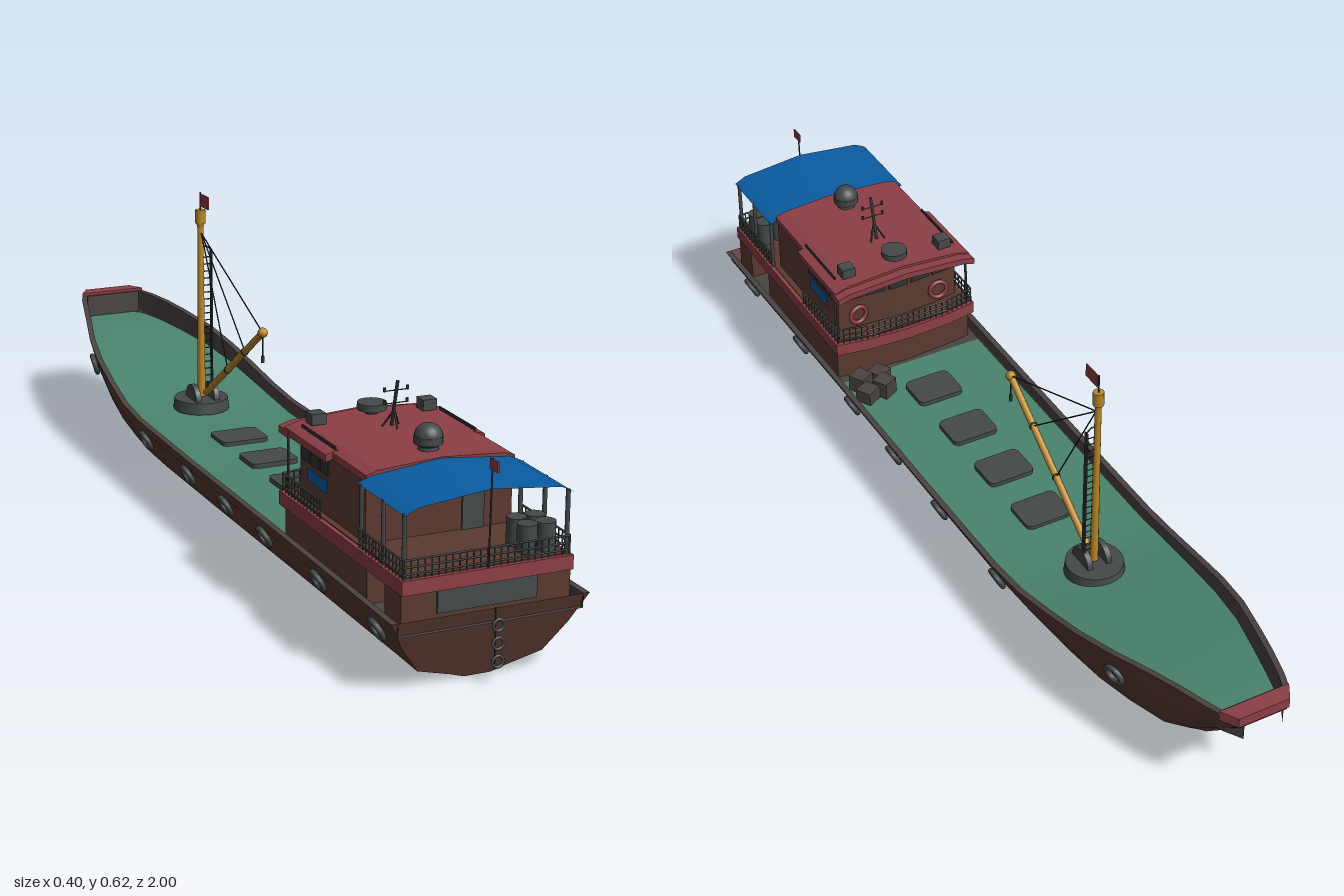
import * as THREE from 'three';

const mat = (name, color) => Object.assign(new THREE.MeshStandardMaterial({ color }), { name });
const M = {
  brown: mat('hullBrown', 0x5b3a30), red: mat('trimRed', 0x8c3f46), green: mat('deckGreen', 0x4a846e),
  blue: mat('canopyBlue', 0x0a5ca2), keel: mat('bottomBlue', 0x0834c4), grey: mat('fittingGrey', 0x454949),
  dark: mat('railDark', 0x2e3234), yellow: mat('mastYellow', 0xb98728), rim: mat('bulwarkInside', 0x4a4341),
};
for (const k of ['brown', 'rim', 'blue', 'red']) M[k].side = THREE.DoubleSide;
const V = (x, y, z) => new THREE.Vector3(x, y, z);
const UP = V(0, 1, 0);

// Hull stations: z, sheer height, half beam, keel height, keel half width
const ST = [
  [.94, .145, .199, 0, .027], [.85, .145, .197, 0, .027], [.43, .145, .192, 0, .027], [0, .145, .19, 0, .027],
  [-.3, .148, .188, 0, .027], [-.4, .158, .186, 0, .027], [-.5, .178, .179, .004, .027], [-.6, .2, .17, .014, .028],
  [-.7, .222, .153, .032, .028], [-.8, .24, .126, .055, .03], [-.87, .249, .107, .105, .036],
  [-.93, .253, .09, .165, .043], [-.965, .254, .077, .2, .047], [-1, .255, .056, .236, .05]];
const GX = [0, .17, .58, .82, 1], GY = [0, .07, .21, .6, 1];
const hullPt = ([z, sh, w, k, kw], j) => V(kw + (w - kw) * GX[j], k + (sh - k) * GY[j], z === .94 ? z + .05 * GY[j] : z);
const deckDrop = s => .028 + Math.max(0, s[1] - .16) * .25;
const mirror = p => V(-p.x, p.y, p.z);

export function createModel() {
  const root = new THREE.Group();
  const add = (name, geo, m, x = 0, y = 0, z = 0, parent = root) => {
    const o = new THREE.Mesh(geo, m);
    o.name = name; o.position.set(x, y, z); parent.add(o);
    return o;
  };
  const box = (name, w, h, d, m, x, y, z, p) => add(name, new THREE.BoxGeometry(w, h, d), m, x, y, z, p);
  const cyl = (name, r0, r1, h, m, x, y, z, p, n = 16) => add(name, new THREE.CylinderGeometry(r0, r1, h, n), m, x, y, z, p);
  const group = name => { const g = new THREE.Group(); g.name = name; root.add(g); return g; };
  const rod = (name, a, b, r, m, p, n = 5) => {
    const d = b.clone().sub(a), c = a.clone().add(b).multiplyScalar(.5);
    const o = add(name, new THREE.CylinderGeometry(r, r, d.length(), n), m, c.x, c.y, c.z, p);
    o.quaternion.setFromUnitVectors(UP, d.normalize());
    return o;
  };
  // Surface through rows of points
  const grid = (name, rows, m, flip = false) => {
    const n = rows[0].length, idx = [];
    for (let i = 0; i < rows.length - 1; i++) for (let j = 0; j < n - 1; j++) {
      const a = i * n + j, b = a + n, c = a + 1, d = b + 1;
      idx.push(...(flip ? [a, c, b, b, c, d] : [a, b, c, b, d, c]));
    }
    const g = new THREE.BufferGeometry().setFromPoints(rows.flat());
    g.setIndex(idx); g.computeVertexNormals();
    return add(name, g, m);
  };
  // Horizontal slab from a plan outline of [x, z]
  const slab = (name, pts, y0, y1, m) => {
    const s = new THREE.Shape(pts.map(([x, z]) => new THREE.Vector2(x, -z)));
    const g = new THREE.ExtrudeGeometry(s, { depth: y1 - y0, bevelEnabled: false }).rotateX(-Math.PI / 2);
    return add(name, g, m, 0, y0, 0);
  };
  const bowedPlan = (w, zAft, zCorner, zMid) =>
    [[-w, zAft], [w, zAft], [w, zCorner], [w * .6, zMid + .006], [0, zMid], [-w * .6, zMid + .006], [-w, zCorner]];

  // Hull shell, bulwark and deck
  const inner = (s, drop) => { const p = hullPt(s, 4); return V(p.x - .013, p.y - drop, p.z); };
  for (const flip of [false, true]) {
    const f = p => flip ? mirror(p) : p;
    const strip = (name, st, fn, m) => grid(name, st.map(s => fn(s).map(f)), m, flip);
    strip('hullSide', ST, s => [1, 2, 3, 4].map(j => hullPt(s, j)), M.brown);
    strip('bottomSide', ST.slice(0, 10), s => [hullPt(s, 0), hullPt(s, 1)], M.keel);
    strip('stemSide', ST.slice(9), s => [hullPt(s, 0), hullPt(s, 1)], M.red);
    strip('bulwarkCap', ST, s => [hullPt(s, 4), inner(s, 0)], M.rim);
    strip('bulwarkInside', ST, s => [inner(s, 0), inner(s, deckDrop(s))], M.rim);
  }
  const across = p => [mirror(p), p];
  const deckRow = s => across(inner(s, deckDrop(s))).reverse();
  grid('bottom', ST.slice(0, 10).map(s => across(hullPt(s, 0))), M.keel);
  grid('stem', ST.slice(9).map(s => across(hullPt(s, 0))), M.red);
  grid('sternDeck', ST.slice(0, 3).map(deckRow), M.rim);
  grid('cargoDeck', ST.slice(2, 13).map(deckRow), M.green);
  grid('transom', GX.map((_, j) => across(hullPt(ST[0], j)).reverse()), M.brown);
  box('bowBulkhead', .13, .05, .006, M.rim, 0, .229, -.962);
  slab('bowCap', [[-.077, -.965], [.077, -.965], [.056, -1], [-.056, -1]], .238, .26, M.red);

  // Tyre fenders along the sides and hanging at the transom
  for (const z of [.89, .63, .37, .17, -.04, -.29, -.7]) {
    const i = Math.max(1, ST.findIndex(s => s[0] <= z)), t = (ST[i - 1][0] - z) / (ST[i - 1][0] - ST[i][0]);
    const s = ST[i].map((v, k) => ST[i - 1][k] + (v - ST[i - 1][k]) * t);
    const a = hullPt(s, 3), b = hullPt(s, 4);
    for (const sx of [1, -1]) {
      const n = V(sx * (b.y - a.y), a.x - b.x, z < -.5 ? -.02 : 0).normalize();
      const p = a.clone().lerp(b, .22);
      p.x *= sx;
      p.addScaledVector(n, .006);
      const tyre = add('tyreFender', new THREE.TorusGeometry(.02, .006, 8, 20), M.grey, p.x, p.y, p.z);
      tyre.quaternion.setFromUnitVectors(V(0, 0, 1), n);
    }
  }
  for (const y of [.043, .078, .113])
    add('sternTyre', new THREE.TorusGeometry(.011, .003, 8, 18), M.grey, .012, y, .994);
  rod('sternChain', V(.005, .03, .994), V(.005, .148, .994), .0015, M.dark, root);

  // Cargo hatches and crates
  const hatch = new THREE.Shape();
  hatch.moveTo(-.053, -.03).quadraticCurveTo(-.051, -.042, -.04, -.043).lineTo(.04, -.043);
  hatch.quadraticCurveTo(.051, -.042, .053, -.03).lineTo(.053, .03).quadraticCurveTo(.051, .042, .04, .043);
  hatch.lineTo(-.04, .043).quadraticCurveTo(-.051, .042, -.053, .03);
  for (const z of [-.17, -.01, .15, .31])
    add('hatch', new THREE.ExtrudeGeometry(hatch, { depth: .01, bevelEnabled: false }).rotateX(-Math.PI / 2), M.grey, 0, .117, z);
  for (const [x, z, h, r] of [[.1, .355, .038, .5], [.138, .395, .038, .5], [.09, .4, .03, .5], [.142, .352, .03, .5]])
    box('crate', .038, h, .038, M.rim, x, .117 + h / 2, z).rotation.y = r;

  // Lower deckhouse, stern bulkhead and upper deck
  slab('lowerHouse', bowedPlan(.165, .82, .455, .44), .115, .19, M.brown);
  box('sternBulkhead', .34, .075, .066, M.brown, 0, .153, .935);
  box('sternPanel', .2, .043, .006, M.grey, 0, .166, .97);
  slab('upperDeckBand', bowedPlan(.172, .975, .44, .422), .188, .216, M.red);
  slab('upperDeckFloor', bowedPlan(.163, .966, .448, .43), .216, .218, M.brown);

  // Wheelhouse with windows, door and panels
  slab('wheelhouse', bowedPlan(.15, .78, .49, .475), .215, .348, M.brown);
  for (const s of [1, -1]) {
    for (let i = 0; i < 3; i++) box('sideWindow', .006, .036, .036, M.dark, s * .149, .315, .517 + i * .043);
    box('sideBoard', .006, .024, .085, M.blue, s * .1485, .273, .57);
    const buoy = add('lifebuoy', new THREE.TorusGeometry(.02, .005, 8, 20), M.red, s * .1, .255, .474);
    buoy.rotation.y = s * .1;
  }
  for (let i = -2; i <= 2; i++)
    box('frontWindow', .046, .036, .006, M.dark, i * .055, .315, .4745 + Math.abs(i) * .0035).rotation.y = -Math.sign(i) * .066;
  box('aftDoor', .045, .115, .006, M.grey, .068, .273, .781);
  box('aftWindowFrame', .058, .032, .004, M.rim, -.066, .302, .78);
  box('aftWindowPane', .037, .024, .006, M.grey, -.071, .302, .781);

  // Arched roof, extruded along z, and a single-sheet canopy
  const archPts = (w, edge, mid) =>
    [[w, edge], [w * .85, edge + (mid - edge) * .45], [0, mid], [-w * .85, edge + (mid - edge) * .45], [-w, edge]];
  const arch = (name, w, edge, mid, t, z0, z1, m) => {
    const top = archPts(w, edge, mid);
    const s = new THREE.Shape([...top, ...top.map(([x, y]) => [x, y - t]).reverse()].map(p => new THREE.Vector2(...p)));
    return add(name, new THREE.ExtrudeGeometry(s, { depth: z1 - z0, bevelEnabled: false }), m, 0, 0, z0);
  };
  arch('roof', .152, .35, .366, .014, .45, .785, M.red);
  arch('roofWings', .166, .347, .363, .014, .45, .64, M.red);
  arch('roofVisor', .168, .344, .36, .014, .428, .47, M.red);
  grid('canopy', [.975, .78].map(z => archPts(.168, .336, .364).map(([x, y]) => V(x, y, z))), M.blue);
  for (const s of [1, -1]) {
    for (const z of [.79, .88, .963]) rod('canopyPost', V(s * .163, .215, z), V(s * .163, .338, z), .0045, M.grey, root, 8);
    rod('roofPost', V(s * .16, .215, .455), V(s * .16, .345, .455), .003, M.dark, root);
    box('roofRail', .003, .006, .15, M.dark, s * .146, .358, .565);
  }

  // Lattice railings
  const rails = group('railings');
  const rail = (a, b) => {
    for (const h of [.01, .023, .037]) rod('railBar', a.clone().setY(.215 + h), b.clone().setY(.215 + h), .0022, M.grey, rails);
    const n = Math.round(a.distanceTo(b) / .014);
    for (let i = 0; i <= n; i++) {
      const p = a.clone().lerp(b, i / n);
      rod('railPost', p, p.clone().setY(.253), .0016, M.grey, rails, 4);
    }
  };
  rail(V(-.165, .215, .968), V(.165, .215, .968));
  for (const s of [1, -1]) {
    rail(V(s * .167, .215, .968), V(s * .167, .215, .79));
    rail(V(s * .167, .215, .62), V(s * .167, .215, .445));
    rail(V(s * .167, .215, .445), V(s * .1, .215, .431));
  }
  rail(V(-.1, .215, .431), V(.1, .215, .431));

  // Drums on the aft deck
  for (const [x, z] of [[.1, .93], [.138, .93], [.1, .89], [.138, .89]])
    cyl('drum', .019, .019, .056, M.grey, x, .244, z);

  // Roof equipment: dome, lamps, search light, aerial
  cyl('domeBase', .017, .02, .022, M.grey, 0, .376, .73);
  add('radarDome', new THREE.SphereGeometry(.027, 20, 14), M.grey, 0, .39, .73).scale.y = .95;
  cyl('domeBand', .028, .028, .014, M.grey, 0, .384, .73);
  cyl('searchLightBase', .012, .012, .02, M.dark, 0, .37, .49);
  cyl('searchLight', .029, .029, .014, M.grey, 0, .381, .49);
  for (const s of [1, -1]) {
    cyl('lampFoot', .006, .006, .02, M.dark, s * .118, .36, .49);
    box('roofLamp', .03, .022, .03, M.grey, s * .118, .371, .49);
  }
  const aerial = group('aerial');
  rod('aerialMast', V(0, .36, .575), V(0, .46, .6), .0035, M.dark, aerial, 8);
  for (const a of [0, 2.1, 4.2]) rod('aerialLeg', V(Math.sin(a) * .022, .36, .58 + Math.cos(a) * .022), V(0, .4, .588), .002, M.dark, aerial);
  for (const y of [.415, .44]) {
    rod('aerialArm', V(-.026, y, .593), V(.026, y, .593), .0012, M.dark, aerial);
    for (const s of [1, -1]) cyl('aerialTip', .003, .003, .008, M.dark, s * .024, y + .003, .593, aerial, 8);
  }

  // Stern flag
  rod('sternFlagPole', V(0, .215, .972), V(0, .422, .978), .0018, M.dark, root);
  box('sternFlag', .003, .02, .03, M.red, 0, .411, .985);

  // Cargo mast with winch foot, ladder, boom and stays
  const mast = group('cargoMast');
  cyl('mastFoot', .06, .063, .025, M.grey, 0, .14, -.39, mast, 24);
  for (const s of [1, -1])
    add('winchCheek', new THREE.CylinderGeometry(.032, .032, .012, 20).rotateZ(Math.PI / 2), M.grey, s * .022, .154, -.38, mast);
  cyl('mastPost', .0065, .009, .4, M.yellow, 0, .355, -.387, mast, 12);
  cyl('mastHead', .0115, .0115, .03, M.yellow, 0, .567, -.387, mast, 12);
  cyl('mastCollar', .009, .007, .012, M.yellow, 0, .548, -.387, mast, 12);
  rod('mastRod', V(0, .58, -.387), V(0, .622, -.387), .0018, M.dark, mast);
  box('mastFlag', .003, .028, .045, M.red, 0, .605, -.362, mast);
  box('ladderRail', .003, .335, .01, M.dark, .025, .3225, -.387, mast);
  rod('ladderTop', V(.025, .49, -.387), V(.015, .499, -.387), .0016, M.dark, mast);
  rod('ladderTop', V(.015, .499, -.387), V(0, .499, -.387), .0016, M.dark, mast);
  for (let y = .17; y < .49; y += .016) rod('ladderRung', V(0, y, -.387), V(.025, y, -.387), .0014, M.dark, mast, 4);
  const heel = V(0, .17, -.36), tip = V(0, .39, -.04), head = V(0, .53, -.38);
  rod('boom', heel, tip, .0075, M.yellow, mast, 10);
  add('boomEnd', new THREE.SphereGeometry(.011, 12, 8), M.yellow, 0, .39, -.04, mast);
  for (const t of [.4, .7, 1]) {
    const p = heel.clone().lerp(tip, t);
    rod('stay', head, p, .0015, M.dark, mast);
    add('stayRing', new THREE.TorusGeometry(.008, .002, 6, 12), M.dark, p.x, p.y, p.z, mast);
  }
  rod('hookLine', tip, V(0, .335, -.04), .0013, M.dark, mast);
  cyl('hookBlock', .004, .004, .014, M.dark, 0, .332, -.04, mast, 8);
  return root;
}
